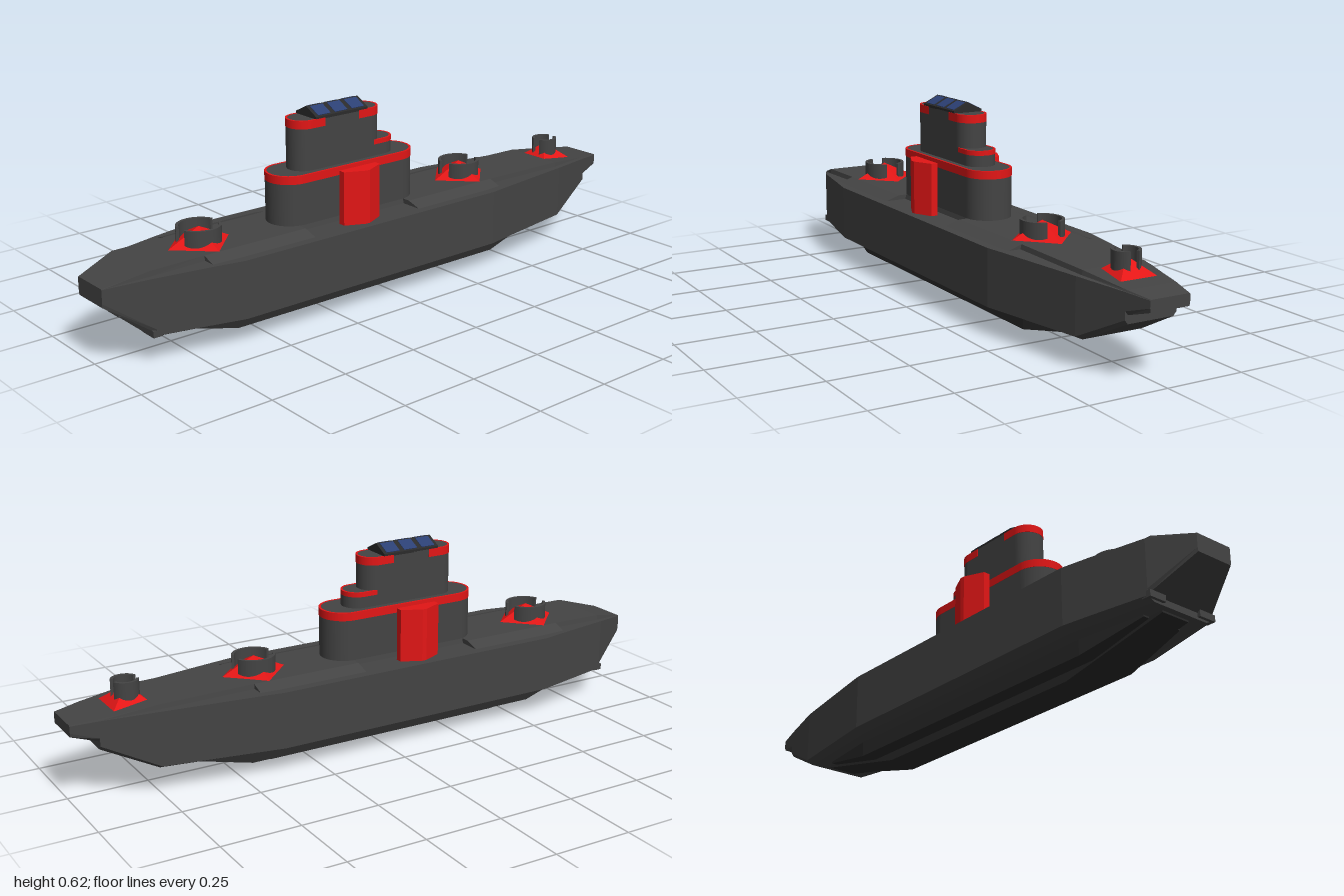
import * as THREE from 'three';

const mat = (color, side = THREE.FrontSide) => {
  const m = new THREE.MeshStandardMaterial({ color, flatShading: true, side });
  return m;
};
const GREY = mat(0x444444), DARK = mat(0x2b2b2b), RED = mat(0xe31616), BLUE = mat(0x2c4074);

function add(parent, name, geo, material, x = 0, y = 0, z = 0) {
  const mesh = new THREE.Mesh(geo, material);
  mesh.name = name;
  mesh.position.set(x, y, z);
  parent.add(mesh);
  return mesh;
}

// Skin over stations running front to back: { z, half: [[x, y], ...] } with the half listed bottom to top
function loft(stations) {
  const loops = stations.map(({ z, half }) =>
    [...half, ...half.map(([x, y]) => [-x, y]).reverse()].map(([x, y]) => new THREE.Vector3(x, y, z)));
  const n = loops[0].length, pts = [];
  for (let k = 0; k < loops.length - 1; k++) {
    const a = loops[k], b = loops[k + 1];
    for (let i = 0; i < n; i++) {
      const j = (i + 1) % n;
      pts.push(a[i], b[i], b[j], a[i], b[j], a[j]);
    }
  }
  const cap = (loop, front) => {
    const c = loop.reduce((s, p) => s.add(p), new THREE.Vector3()).divideScalar(n);
    loop.forEach((p, i) => {
      const q = loop[(i + 1) % n];
      pts.push(c, front ? p : q, front ? q : p);
    });
  };
  cap(loops[0], true);
  cap(loops[loops.length - 1], false);
  const geo = new THREE.BufferGeometry().setFromPoints(pts);
  geo.computeVertexNormals();
  return geo;
}

// Plan shape (x, -z) pulled upwards
function upright(shape, height, curveSegments = 24) {
  return new THREE.ExtrudeGeometry(shape, { depth: height, bevelEnabled: false, curveSegments })
    .rotateX(-Math.PI / 2);
}

// Round-ended tower block from z0 (back) to z1 (front)
function stadium(r, z0, z1, height) {
  const s = new THREE.Shape();
  s.absarc(0, -z0 - r, r, 0, Math.PI, false);
  s.absarc(0, -z1 + r, r, Math.PI, Math.PI * 2, false);
  s.closePath();
  return upright(s, height);
}

// U-shaped stripe hugging one round end, with straight legs
function stripe(r, leg, height) {
  const o = r + 0.001, i = r - 0.006;
  const s = new THREE.Shape();
  s.moveTo(o, -leg);
  s.lineTo(o, 0);
  s.absarc(0, 0, o, 0, Math.PI, false);
  s.lineTo(-o, -leg);
  s.lineTo(-i, -leg);
  s.lineTo(-i, 0);
  s.absarc(0, 0, i, Math.PI, 0, true);
  s.lineTo(i, -leg);
  s.closePath();
  return upright(s, height);
}

function turret(name, baseRadius, turn, baseY, apexY, ring, z) {
  const g = new THREE.Group();
  g.name = name;
  g.position.z = z;
  const h = apexY - baseY;
  add(g, 'turretBase', new THREE.ConeGeometry(baseRadius, h, 4).rotateY(turn), RED, 0, baseY + h / 2, 0);
  // two curved shields, open at the front and back
  const gap = Math.asin(0.33), inner = ring - 0.009;
  for (const start of [-Math.PI / 2 + gap, Math.PI / 2 + gap]) {
    const end = start + Math.PI - 2 * gap;
    const s = new THREE.Shape();
    s.absarc(0, 0, ring, start, end, false);
    s.absarc(0, 0, inner, end, start, true);
    s.closePath();
    add(g, 'turretShield', upright(s, 0.055, 14), GREY, 0, 0.28, 0);
  }
  return g;
}

export function createModel() {
  const ship = new THREE.Group();
  ship.name = 'ship';

  // Hull: z, bottom half width, bottom, half width, edge height, shoulder, deck half width, deck height
  const hull = [
    [1, 0.063, 0.19, 0.065, 0.243, 0.064, 0.063, 0.245],
    [0.87, 0.12, 0.1, 0.125, 0.262, 0.106, 0.103, 0.278],
    [0.87, 0.1, 0.08, 0.125, 0.262, 0.106, 0.103, 0.278],
    [0.69, 0.127, 0.077, 0.162, 0.265, 0.106, 0.103, 0.28],
    [0.69, 0.127, 0.077, 0.162, 0.265, 0.145, 0.103, 0.28],
    [0.6, 0.145, 0.075, 0.18, 0.265, 0.15, 0.103, 0.28],
    [0.33, 0.145, 0.075, 0.18, 0.265, 0.15, 0.103, 0.28],
    [0.33, 0.145, 0.075, 0.18, 0.265, 0.078, 0.075, 0.28],
    [-0.08, 0.145, 0.075, 0.18, 0.265, 0.078, 0.075, 0.28],
    [-0.08, 0.145, 0.075, 0.18, 0.265, 0.15, 0.103, 0.28],
    [-0.38, 0.145, 0.075, 0.18, 0.265, 0.15, 0.103, 0.28],
    [-0.44, 0.137, 0.076, 0.171, 0.265, 0.145, 0.103, 0.28],
    [-0.44, 0.137, 0.076, 0.171, 0.265, 0.106, 0.103, 0.28],
    [-0.75, 0.1, 0.08, 0.125, 0.262, 0.106, 0.103, 0.276],
    [-0.92, 0.075, 0.165, 0.085, 0.254, 0.082, 0.08, 0.259],
    [-0.92, 0.075, 0.19, 0.085, 0.254, 0.082, 0.08, 0.259],
    [-1, 0.063, 0.215, 0.065, 0.248, 0.064, 0.063, 0.25],
  ].map(([z, bx, yb, w, ye, s, d, yt]) => ({
    z, half: [[bx, yb], [w, yb + 0.012], [w, ye], [s, ye], [d, yt]],
  }));
  add(ship, 'hull', loft(hull), GREY);

  // Stepped keel
  const keel = rows => loft(rows.map(([z, w, y]) => ({ z, half: [[w, y], [w, 0.09]] })));
  add(ship, 'keel', keel([[0.85, 0.05, 0.074], [0.47, 0.05, 0], [-0.36, 0.05, 0], [-0.72, 0.05, 0.074]]), DARK);
  add(ship, 'keelStep', keel([[0.8, 0.07, 0.074], [0.58, 0.102, 0.027], [-0.45, 0.102, 0.027], [-0.68, 0.07, 0.074]]), DARK);
  for (const side of [-1, 1]) {
    add(ship, 'bowBlock', new THREE.BoxGeometry(0.06, 0.02, 0.03), GREY, side * 0.096, 0.097, 0.865);
  }

  // Tower tiers
  add(ship, 'lowerTower', stadium(0.075, -0.15, 0.385, 0.165), GREY, 0, 0.27, 0);
  add(ship, 'middleTower', stadium(0.05, -0.075, 0.2, 0.065), GREY, 0, 0.42, 0);
  add(ship, 'upperTower', stadium(0.05, -0.02, 0.31, 0.17), GREY, 0, 0.42, 0);

  // Red stripes: radius, leg, bottom, height, centre of the round end, facing front
  for (const [r, leg, y, h, z, front] of [
    [0.075, 0.193, 0.41, 0.0255, 0.31, true],
    [0.075, 0.193, 0.41, 0.0255, -0.075, false],
    [0.05, 0.05, 0.565, 0.0255, 0.26, true],
    [0.05, 0.05, 0.565, 0.0255, 0.03, false],
    [0.05, 0.045, 0.471, 0.0145, -0.025, false],
  ]) {
    add(ship, 'towerStripe', stripe(r, leg, h), RED, 0, y, z).rotation.y = front ? Math.PI : 0;
  }

  // Gabled roof with panels on both slopes
  const gable = [[0.05, 0.588], [0.05, 0.597], [0, 0.622]];
  add(ship, 'roof', loft([{ z: 0.245, half: gable }, { z: 0.045, half: gable }]), DARK);
  const slope = Math.atan2(0.025, 0.05);
  for (const side of [-1, 1]) {
    for (const z of [0.21, 0.145, 0.08]) {
      add(ship, 'roofPanel', new THREE.BoxGeometry(0.045, 0.003, 0.048), BLUE, side * 0.0255, 0.6097, z)
        .rotation.z = -side * slope;
    }
  }

  // Red side shields
  for (const side of [-1, 1]) {
    const plan = [[0.103, 0.06], [0.125, 0.06], [0.154, 0.122], [0.154, 0.138], [0.125, 0.2], [0.103, 0.2]];
    const s = new THREE.Shape(plan.map(([x, z]) => new THREE.Vector2(side * x, -z)));
    add(ship, side > 0 ? 'leftShield' : 'rightShield', upright(s, 0.171), RED, 0, 0.263, 0);
  }

  // Turrets: diamond bases on the main deck, a smaller square one at the stern
  ship.add(turret('frontTurret', 0.108, 0, 0.278, 0.33, 0.067, 0.64));
  ship.add(turret('rearTurret', 0.108, 0, 0.278, 0.33, 0.067, -0.39));
  ship.add(turret('sternTurret', 0.085, Math.PI / 4, 0.265, 0.315, 0.042, -0.805));

  return ship;
}
